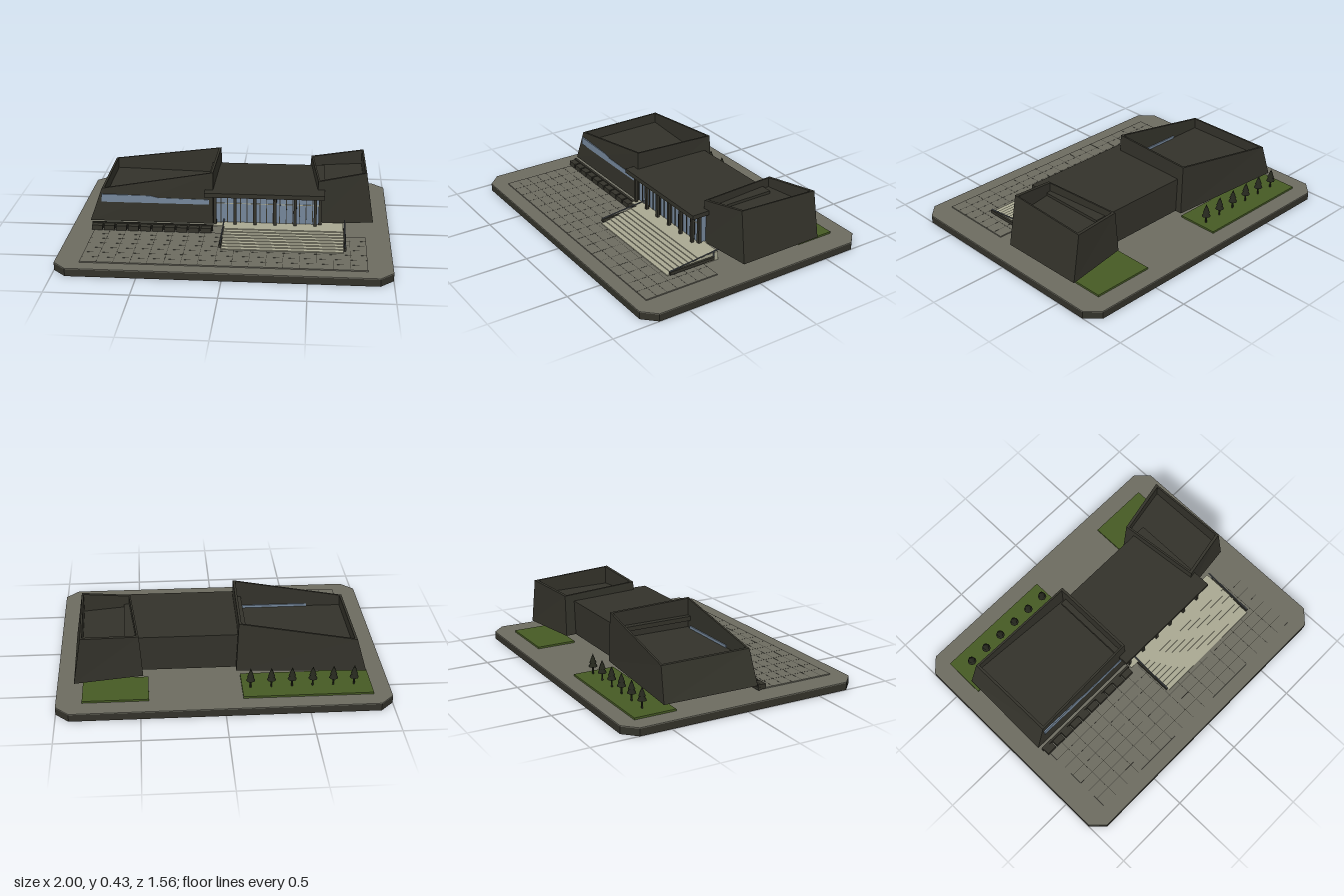
import * as THREE from 'three';

const mat = (name, color) => {
  const m = new THREE.MeshStandardMaterial({ color });
  m.name = name;
  return m;
};

export function createModel() {
  const model = new THREE.Group();
  const dark = mat('dark cladding', 0x33322a);
  const paving = mat('paving', 0x6c6b60);
  const stone = mat('stair stone', 0xa9a892);
  const grass = mat('grass', 0x465a24);
  const glass = mat('glass', 0x74869a);
  const metal = mat('rail metal', 0x5a6066);
  const foliage = mat('foliage', 0x24261c);

  const add = (name, geo, material, parent = model) => {
    const mesh = new THREE.Mesh(geo, material);
    mesh.name = name;
    parent.add(mesh);
    return mesh;
  };
  // Box given by its limits on each axis
  const box = (name, material, x0, x1, y0, y1, z0, z1, parent = model) => {
    const mesh = add(name, new THREE.BoxGeometry(x1 - x0, y1 - y0, z1 - z0), material, parent);
    mesh.position.set((x0 + x1) / 2, (y0 + y1) / 2, (z0 + z1) / 2);
    return mesh;
  };
  const group = (name) => {
    const g = new THREE.Group();
    g.name = name;
    model.add(g);
    return g;
  };

  // Base slab with cut corners
  const outline = new THREE.Shape([
    [-0.92, -0.78], [0.92, -0.78], [1, -0.7], [1, 0.7],
    [0.92, 0.78], [-0.92, 0.78], [-1, 0.7], [-1, -0.7],
  ].map(([x, y]) => new THREE.Vector2(x, y)));
  const slab = (depth) => new THREE.ExtrudeGeometry(outline, { depth, bevelEnabled: false }).rotateX(-Math.PI / 2);
  add('baseSlab', slab(0.044), dark);
  add('baseTop', slab(0.006), paving).position.y = 0.044;

  // Paved plaza with fine joints
  box('plaza', paving, -0.85, 0.85, 0.049, 0.057, 0.2, 0.69);
  const joints = group('plazaJoints');
  for (let i = 1; i < 17; i++) box('joint', dark, -0.851 + i * 0.1, -0.849 + i * 0.1, 0.056, 0.0575, 0.2, 0.69, joints);
  for (let i = 1; i < 7; i++) box('joint', dark, -0.85, 0.85, 0.056, 0.0575, 0.199 + i * 0.07, 0.201 + i * 0.07, joints);

  // Lawns
  box('leftLawn', grass, -0.89, -0.11, 0.049, 0.062, -0.675, -0.41);
  box('rightLawn', grass, 0.45, 0.845, 0.049, 0.062, -0.665, -0.41);

  // Row of small conifers
  for (let i = 0; i < 6; i++) {
    const tree = group('tree');
    tree.position.set(-0.785 + i * 0.125, 0.06, -0.57);
    add('trunk', new THREE.CylinderGeometry(0.005, 0.006, 0.06, 7), foliage, tree).position.y = 0.03;
    [[0.028, 0.05, 0.075], [0.022, 0.045, 0.098], [0.015, 0.036, 0.113]].forEach(([r, h, y]) => {
      add('branches', new THREE.ConeGeometry(r, h, 8), foliage, tree).position.y = y;
    });
  }

  // Hollow leaning block: rings run front left, front right, back right, back left
  const wing = (name, bottom, top, inset, floorY) => {
    const at = (u, v) => {
      const [a, b, c, d] = top.map((p) => new THREE.Vector3(...p));
      return a.lerp(b, u).lerp(d.lerp(c, u), v).toArray();
    };
    const n = inset, m = 1 - inset;
    const rim = [at(n, n), at(m, n), at(m, m), at(n, m)];
    const rings = [bottom, top, rim, rim.map(([x, , z]) => [x, floorY, z])];
    const pos = [];
    const quad = (a, b, c, d) => pos.push(...a, ...b, ...c, ...a, ...c, ...d);
    for (let k = 0; k < 3; k++) {
      for (let i = 0; i < 4; i++) {
        const j = (i + 1) % 4;
        quad(rings[k][i], rings[k][j], rings[k + 1][j], rings[k + 1][i]);
      }
    }
    quad(...rings[3]);
    quad(...[...bottom].reverse());
    const geo = new THREE.BufferGeometry();
    geo.setAttribute('position', new THREE.Float32BufferAttribute(pos, 3));
    geo.computeVertexNormals();
    add(name, geo, dark);
  };
  const y0 = 0.094;
  wing('leftWing',
    [[-0.885, y0, 0.14], [-0.105, y0, 0.14], [-0.085, y0, -0.425], [-0.875, y0, -0.48]],
    [[-0.81, 0.305, 0.125], [-0.105, 0.43, 0.13], [-0.1, 0.412, -0.42], [-0.815, 0.305, -0.465]], 0.022, 0.24);
  wing('rightWing',
    [[0.54, y0, 0.088], [0.9, y0, 0.045], [0.895, y0, -0.516], [0.48, y0, -0.45]],
    [[0.55, 0.372, 0.083], [0.85, 0.42, 0.035], [0.845, 0.392, -0.51], [0.5, 0.36, -0.445]], 0.035, 0.3);

  // Window band on the left wing, outside and inside
  const band = new THREE.Shape([
    [-0.81, 0.22], [-0.13, 0.22], [-0.13, 0.252], [-0.45, 0.256], [-0.5, 0.268], [-0.81, 0.27],
  ].map(([x, y]) => new THREE.Vector2(x, y)));
  add('windowBand', new THREE.ExtrudeGeometry(band, { depth: 0.009, bevelEnabled: false }), glass).position.z = 0.129;
  box('innerWindowBand', glass, -0.58, -0.16, 0.24, 0.256, 0.108, 0.116);

  // Row of planters in front of the left wing
  const planters = group('planters');
  box('planterBack', dark, -0.87, -0.105, 0.075, 0.094, 0.155, 0.17, planters);
  box('planterFoot', dark, -0.87, -0.105, 0.056, 0.073, 0.155, 0.17, planters);
  for (let i = 0; i < 10; i++) {
    const x = -0.865 + i * 0.0765;
    box('planter', dark, x, x + 0.066, 0.057, 0.088, 0.168, 0.21, planters);
  }

  // Central hall
  box('hallRoof', dark, -0.155, 0.59, 0.29, 0.318, -0.38, 0.195);
  box('hallBackWall', dark, -0.11, 0.53, y0, 0.292, -0.38, -0.36);
  box('hallFloor', stone, -0.1, 0.58, y0, 0.102, -0.375, 0.19);
  box('hallGlass', glass, -0.1, 0.565, 0.1, 0.291, 0.124, 0.13);
  box('hallSideGlass', glass, 0.56, 0.566, 0.1, 0.291, 0.06, 0.13);
  const frame = group('hallFrame');
  for (let i = 0; i <= 16; i++) {
    const x = -0.097 + i * 0.041;
    box('mullion', dark, x - 0.0025, x + 0.0025, 0.1, 0.291, 0.122, 0.135, frame);
  }
  box('transom', stone, -0.1, 0.565, 0.229, 0.233, 0.126, 0.134, frame);
  for (let i = 0; i < 6; i++) {
    const x = -0.09 + i * 0.125;
    box('column', dark, x - 0.009, x + 0.009, 0.1, 0.291, 0.15, 0.168, frame);
  }
  box('endColumn', dark, 0.555, 0.575, 0.1, 0.291, 0.12, 0.14, frame);

  // Broad entrance stair
  const stairs = group('stairs');
  const steps = 8;
  for (let i = 0; i < steps; i++) {
    box('step', stone, -0.03, 0.71, 0.05, 0.063 + i * 0.006, 0.095, 0.455 - i * 0.031, stairs);
  }

  // Cheek walls and sloping handrails on both sides of the stair
  [-0.036, 0.719].forEach((x) => {
    box('cheekWall', dark, x - 0.007, x + 0.007, 0.066, 0.086, 0.13, 0.445, stairs);
    const path = new THREE.LineCurve3(new THREE.Vector3(x, 0.088, 0.445), new THREE.Vector3(x, 0.126, 0.1));
    add('handrail', new THREE.TubeGeometry(path, 1, 0.004, 6), metal, stairs);
    box('railPost', metal, x - 0.003, x + 0.003, 0.08, 0.124, 0.13, 0.136, stairs);
  });

  return model;
}
